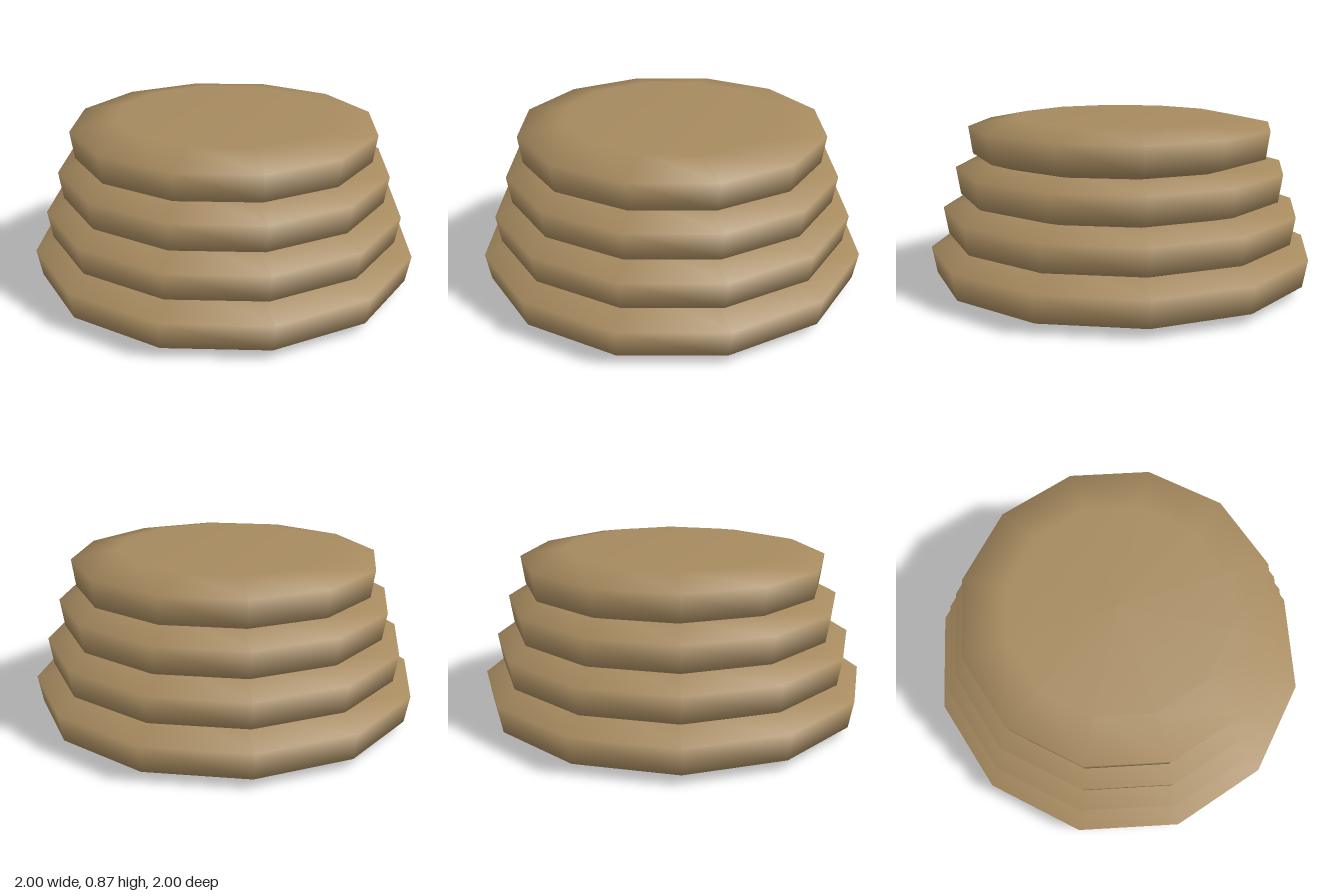
import * as THREE from 'three';

export function createModel() {
  const group = new THREE.Group();
  group.name = 'steppedMound';
  const tan = new THREE.MeshStandardMaterial({ color: 0xa68a5f });
  tan.name = 'tan';

  // Twelve-sided pillow-like disc, as [radius, height] from bottom to top
  const profile = [[0, 0], [0.77, 0], [0.975, 0.05], [1, 0.19], [0.71, 0.235], [0, 0.235]];

  // Four discs, each narrower and sunk slightly into the one below
  for (let i = 0; i < 4; i++) {
    const radius = 1 - i * 0.07;
    const points = profile.map(([r, y]) => new THREE.Vector2(r * radius, y));
    const tier = new THREE.Mesh(new THREE.LatheGeometry(points, 12), tan);
    tier.name = `tier${i + 1}`;
    tier.position.y = i * 0.21;
    group.add(tier);
  }
  return group;
}
